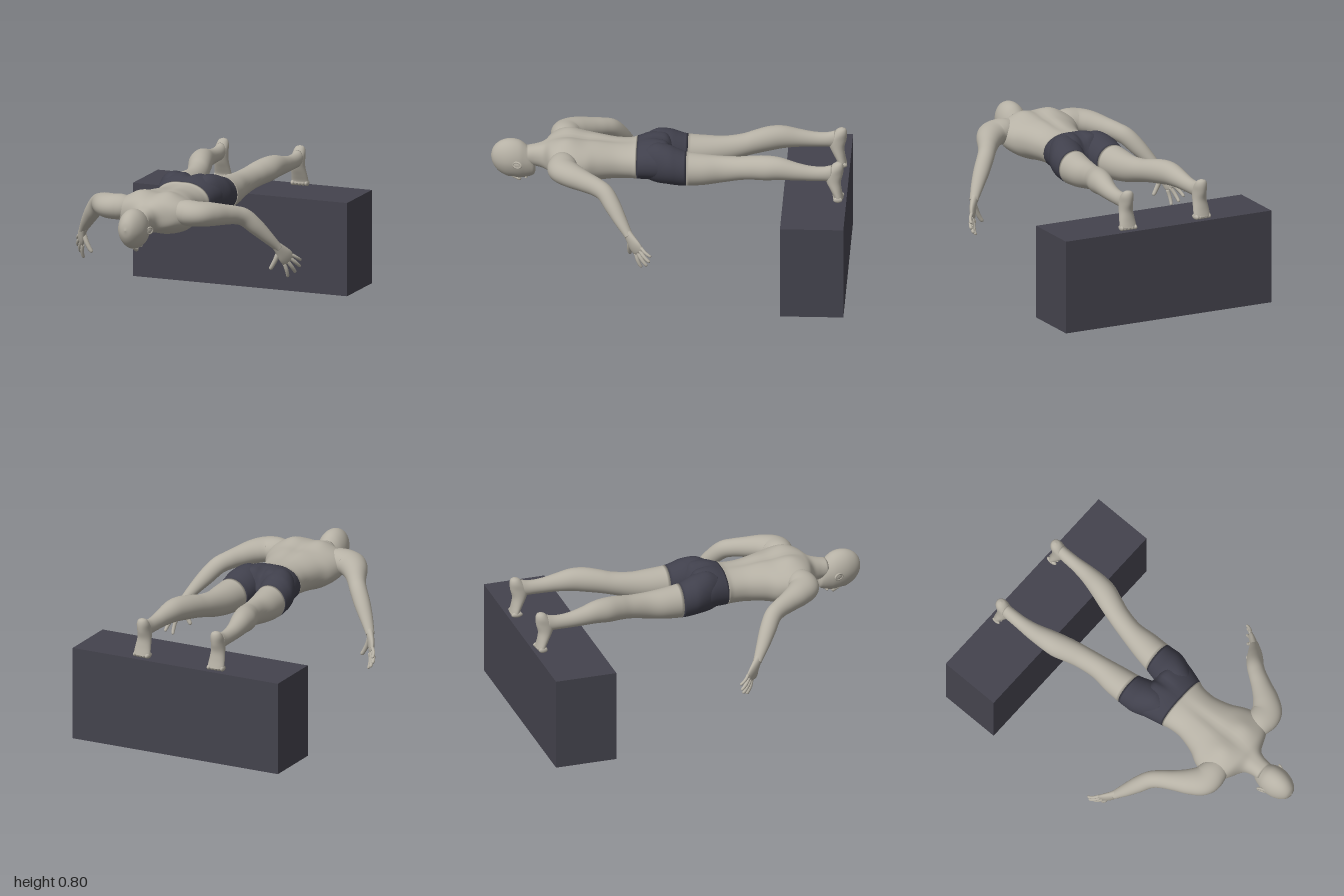
import * as THREE from 'three';

const V = (x, y, z) => new THREE.Vector3(x, y, z);
const UP = V(0, 1, 0), BACK = V(0, 0, -1);

// Smooth loft through sections [x, y, z, halfWidth, halfDepth], using sections first..last.
// up sets the depth axis, dir fixes the ring normal, tweak moves vertices, pow squares the ring.
function loft(sections, { first = 0, last = sections.length - 1, up = UP, dir = null, tweak = null, pow = 1, sides = 36, steps = 5 } = {}) {
  const centre = new THREE.CatmullRomCurve3(sections.map(s => V(s[0], s[1], s[2])), false, 'catmullrom');
  const radius = new THREE.CatmullRomCurve3(sections.map(s => V(s[3], s[4], 0)), false, 'catmullrom');
  const pos = [], index = [], rings = (last - first) * steps;
  const put = p => { if (tweak) tweak(p); pos.push(p.x, p.y, p.z); };
  const soft = n => Math.sign(n) * Math.pow(Math.abs(n), pow);
  for (let i = 0; i <= rings; i++) {
    const t = (first + i / steps) / (sections.length - 1);
    const c = centre.getPoint(t), r = radius.getPoint(t);
    const d = dir || centre.getTangent(t);
    const v = up.clone().addScaledVector(d, -up.dot(d)).normalize();
    const u = v.clone().cross(d).normalize();
    for (let j = 0; j < sides; j++) {
      const a = j / sides * Math.PI * 2;
      put(c.clone().addScaledVector(u, Math.max(r.x, 0.001) * soft(Math.cos(a)))
        .addScaledVector(v, Math.max(r.y, 0.001) * soft(Math.sin(a))));
    }
  }
  for (let i = 0; i < rings; i++) for (let j = 0; j < sides; j++) {
    const k = (j + 1) % sides, a = i * sides, b = a + sides;
    index.push(a + j, a + k, b + j, a + k, b + k, b + j);
  }
  // End caps
  const n = sections.length - 1;
  put(centre.getPoint(first / n));
  put(centre.getPoint(last / n));
  const c0 = (rings + 1) * sides, end = rings * sides;
  for (let j = 0; j < sides; j++) {
    const k = (j + 1) % sides;
    index.push(c0, k, j, c0 + 1, end + j, end + k);
  }
  const g = new THREE.BufferGeometry();
  g.setAttribute('position', new THREE.Float32BufferAttribute(pos, 3));
  g.setIndex(index);
  g.computeVertexNormals();
  return g;
}

// [z, halfWidth, top, bottom] to a loft section
const slab = ([z, w, top, bottom]) => [0, (top + bottom) / 2, z, w, (top - bottom) / 2];
const bump = (d, w) => Math.exp(-(d * d) / (w * w));

export function createModel() {
  const group = new THREE.Group();
  const material = (name, color) => Object.assign(new THREE.MeshStandardMaterial({ color }), { name });
  const skin = material('skin', 0xb6b1a5);
  const cloth = material('shorts fabric', 0x40404c);
  const blockGrey = material('block grey', 0x44434d);
  const add = (name, geometry, mat = skin, parent = group) => {
    const m = new THREE.Mesh(geometry, mat);
    m.name = name;
    parent.add(m);
    return m;
  };

  // Support block under the feet
  add('block', new THREE.BoxGeometry(1.3, 0.535, 0.355), blockGrey).position.set(0, 0.2675, -0.8225);

  // Neck, chest, waist and pelvis
  const torso = [
    [0.80, 0.055, 0.725, 0.62], [0.745, 0.06, 0.738, 0.61], [0.70, 0.085, 0.752, 0.60],
    [0.66, 0.17, 0.775, 0.595], [0.61, 0.225, 0.79, 0.575], [0.55, 0.235, 0.795, 0.555],
    [0.47, 0.213, 0.787, 0.545], [0.40, 0.176, 0.783, 0.552], [0.30, 0.149, 0.77, 0.56],
    [0.22, 0.151, 0.767, 0.562], [0.18, 0.163, 0.775, 0.562], [0.12, 0.18, 0.795, 0.563],
    [0.06, 0.194, 0.80, 0.565], [0.01, 0.19, 0.785, 0.575], [-0.025, 0.10, 0.72, 0.60],
  ].map(slab);
  // Spine groove, shoulder blades, chest cleft and seat crease
  const muscles = p => {
    const x = Math.abs(p.x);
    if (p.y > 0.68) {
      p.y += 0.014 * bump(x - 0.09, 0.05) * bump(p.z - 0.57, 0.07);
      p.y -= 0.014 * bump(x, 0.03) * bump(p.z - 0.45, 0.2);
      p.y -= 0.035 * bump(x, 0.022) * bump(p.z, 0.09);
    } else {
      p.y += 0.012 * bump(x, 0.03) * bump(p.z - 0.5, 0.08);
    }
  };
  const torsoOptions = { dir: BACK, tweak: muscles, pow: 0.92, sides: 64 };
  add('torso', loft(torso, { ...torsoOptions, last: 10 }));
  add('shortsSeat', loft(torso, { ...torsoOptions, first: 10 }), cloth);

  // Head, crown forward and face down
  const head = [
    [1.0, 0.002, 0.667, 0.663], [0.988, 0.034, 0.71, 0.618], [0.96, 0.058, 0.743, 0.577],
    [0.92, 0.075, 0.762, 0.55], [0.88, 0.081, 0.766, 0.538], [0.84, 0.078, 0.757, 0.535],
    [0.81, 0.069, 0.737, 0.538], [0.78, 0.057, 0.705, 0.545], [0.76, 0.044, 0.66, 0.555],
    [0.75, 0.024, 0.62, 0.575],
  ].map(slab);
  // Narrow face with eye hollows
  const face = p => {
    const x = Math.abs(p.x);
    if (p.y < 0.64) {
      p.x *= 1 - 0.9 * (0.64 - p.y);
      p.y += 0.012 * bump(x - 0.03, 0.016) * bump(p.z - 0.875, 0.014);
    }
  };
  add('head', loft(head, { dir: BACK, tweak: face, sides: 48, steps: 6 }));
  add('nose', loft([
    [0, 0.542, 0.885, 0.006, 0.006], [0, 0.532, 0.86, 0.009, 0.01],
    [0, 0.527, 0.84, 0.014, 0.013], [0, 0.533, 0.828, 0.009, 0.008],
  ], { dir: BACK, sides: 16 }));
  const lips = add('lips', new THREE.SphereGeometry(1, 20, 12));
  lips.scale.set(0.022, 0.008, 0.01);
  lips.position.set(0, 0.538, 0.803);

  for (const s of [1, -1]) {
    const side = new THREE.Group();
    side.name = s > 0 ? 'leftSide' : 'rightSide';
    group.add(side);
    const flip = list => list.map(([x, ...rest]) => [s * x, ...rest]);
    const limb = (name, list, options, mat) => add(name, loft(flip(list), options), mat, side);

    // Ear: rim and inner bowl
    const ear = new THREE.Group();
    ear.name = 'ear';
    ear.position.set(s * 0.084, 0.642, 0.85);
    ear.rotation.y = s * (Math.PI / 2 - 0.35);
    ear.scale.set(1.25, 0.9, 1);
    side.add(ear);
    add('earRim', new THREE.TorusGeometry(0.019, 0.006, 10, 24), skin, ear);
    add('earBowl', new THREE.SphereGeometry(0.018, 16, 10), skin, ear).scale.z = 0.3;

    // Leg, with the shorts ending at section 4
    const leg = [
      [0.10, 0.68, 0.13, 0.06, 0.09], [0.10, 0.683, 0.07, 0.09, 0.114],
      [0.11, 0.677, 0, 0.104, 0.112], [0.116, 0.666, -0.05, 0.10, 0.105],
      [0.122, 0.658, -0.10, 0.093, 0.097], [0.13, 0.658, -0.20, 0.083, 0.087],
      [0.136, 0.665, -0.30, 0.067, 0.076], [0.155, 0.681, -0.40, 0.064, 0.067],
      [0.175, 0.695, -0.47, 0.067, 0.068], [0.20, 0.706, -0.55, 0.07, 0.07],
      [0.216, 0.71, -0.63, 0.061, 0.064], [0.228, 0.70, -0.72, 0.048, 0.051],
      [0.232, 0.692, -0.80, 0.039, 0.043], [0.233, 0.691, -0.87, 0.036, 0.042],
      [0.234, 0.695, -0.92, 0.034, 0.05],
    ];
    limb('shortsLeg', leg, { dir: BACK, last: 4 }, cloth);
    limb('leg', leg, { dir: BACK, first: 4 });

    // Foot, standing on its toes
    limb('foot', [
      [0.233, 0.764, -0.955, 0.004, 0.004], [0.233, 0.755, -0.953, 0.024, 0.024],
      [0.233, 0.73, -0.945, 0.035, 0.039], [0.233, 0.69, -0.928, 0.037, 0.052],
      [0.233, 0.645, -0.928, 0.04, 0.041], [0.234, 0.60, -0.941, 0.046, 0.032],
      [0.234, 0.565, -0.953, 0.05, 0.027], [0.234, 0.55, -0.955, 0.05, 0.029],
    ], { dir: V(0, -1, 0), up: V(0, 0, 1) });
    for (let i = 0; i < 5; i++) {
      const toe = add('toe', new THREE.SphereGeometry(1, 14, 10), skin, side);
      const r = i ? 0.0105 : 0.014;
      toe.scale.set(r, 0.016, 0.034 - i * 0.002);
      toe.position.set(s * (0.196 + i * 0.02), 0.55, -0.953);
    }

    // Arm from shoulder to wrist
    limb('arm', [
      [0.14, 0.70, 0.585, 0.06, 0.06], [0.20, 0.70, 0.59, 0.08, 0.072],
      [0.265, 0.697, 0.582, 0.086, 0.07], [0.32, 0.69, 0.53, 0.074, 0.067],
      [0.37, 0.677, 0.455, 0.058, 0.058], [0.41, 0.664, 0.39, 0.05, 0.052],
      [0.447, 0.642, 0.34, 0.048, 0.05], [0.495, 0.585, 0.295, 0.046, 0.046],
      [0.545, 0.52, 0.25, 0.037, 0.035], [0.583, 0.467, 0.213, 0.027, 0.025],
      [0.594, 0.45, 0.202, 0.025, 0.022],
    ], { steps: 6 });

    // Palm and digits
    const up = V(s * 0.8, -0.08, 0.6);
    limb('palm', [
      [0.578, 0.473, 0.217, 0.024, 0.023], [0.598, 0.443, 0.196, 0.032, 0.02],
      [0.618, 0.405, 0.17, 0.043, 0.017], [0.629, 0.378, 0.15, 0.042, 0.013],
      [0.633, 0.368, 0.143, 0.034, 0.008],
    ], { up, sides: 24 });
    const digit = (name, base, tip, r) => {
      const at = (k, bend) => base.map((b, i) => b + (tip[i] - b) * k + [0.5, 0, 0.4][i] * bend);
      limb(name, [
        [...at(0, 0), r, r], [...at(0.4, 0.01), r, r], [...at(0.75, 0.008), r * 0.9, r * 0.9],
        [...at(0.94, 0.001), r * 0.75, r * 0.75], [...at(1, 0), r * 0.15, r * 0.15],
      ], { up, sides: 14, steps: 4 });
    };
    digit('indexFinger', [0.612, 0.355, 0.163], [0.62, 0.272, 0.13], 0.0105);
    digit('middleFinger', [0.624, 0.371, 0.153], [0.652, 0.295, 0.098], 0.011);
    digit('ringFinger', [0.634, 0.388, 0.143], [0.675, 0.327, 0.082], 0.0105);
    digit('littleFinger', [0.644, 0.403, 0.132], [0.677, 0.362, 0.075], 0.009);
    digit('thumb', [0.592, 0.43, 0.195], [0.54, 0.322, 0.198], 0.0135);
  }
  return group;
}
